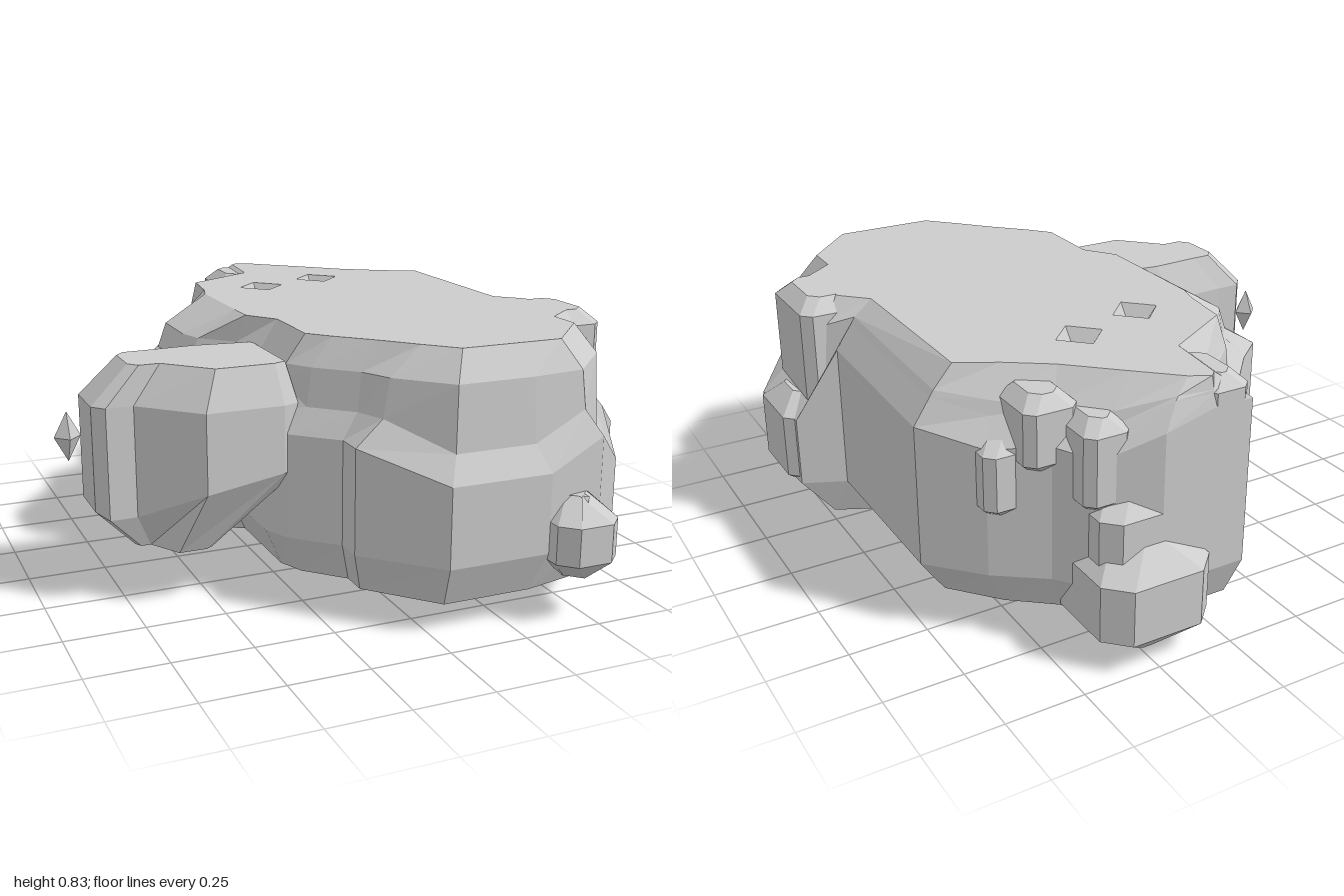
import * as THREE from 'three';
import { mergeGeometries } from 'three/addons/utils/BufferGeometryUtils.js';

const stone = new THREE.MeshStandardMaterial({ color: 0xcccccc });
stone.name = 'grey stone';

function facet(g) {
  const f = g.index ? g.toNonIndexed() : g;
  f.deleteAttribute('uv');
  f.computeVertexNormals();
  return f;
}

// Flat horizontal cap from [x, y, z] points, facing up or down
function cap(points, up, holes = []) {
  const s = up ? -1 : 1;
  const toV = ([x, , z]) => new THREE.Vector2(x, z * s);
  const shape = new THREE.Shape(points.map(toV));
  holes.forEach(h => shape.holes.push(new THREE.Path(h.map(toV))));
  return facet(new THREE.ShapeGeometry(shape).rotateX(s * Math.PI / 2).translate(0, points[0][1], 0));
}

// Joins rings of [x, y, z] points (running back, +x, front, -x), flat at both ends
function loft(rings, holes) {
  const pos = [];
  for (let k = 0; k + 1 < rings.length; k++) {
    const lo = rings[k], hi = rings[k + 1], n = lo.length;
    for (let i = 0; i < n; i++) {
      const j = (i + 1) % n;
      pos.push(...lo[i], ...hi[i], ...lo[j], ...lo[j], ...hi[i], ...hi[j]);
    }
  }
  const side = new THREE.BufferGeometry();
  side.setAttribute('position', new THREE.Float32BufferAttribute(pos, 3));
  return mergeGeometries([facet(side), cap(rings[0], false), cap(rings[rings.length - 1], true, holes)]);
}

function add(group, name, geometry) {
  const mesh = new THREE.Mesh(geometry, stone);
  mesh.name = name;
  group.add(mesh);
}

// Block with all edges cut off
function lump(x0, x1, y0, y1, z0, z1, c) {
  const ring = (i, y) => {
    const [a, b, e, f] = [x0 + i, x1 - i, z0 + i, z1 - i];
    const d = c * 0.7;
    return [[a + d, e], [b - d, e], [b, e + d], [b, f - d], [b - d, f], [a + d, f], [a, f - d], [a, e + d]]
      .map(([x, z]) => [x, y, z]);
  };
  return loft([ring(c, y0), ring(0, y0 + c), ring(0, y1 - c), ring(c, y1)]);
}

// Main outline: outer x, z, top x, z and the height of the ledge
const outline = [
  [-.09, -.92, .02, -.88, .74], [.04, -.92, .04, -.9, .74], [.2, -.92, .1, -.87, .7],
  [.36, -.84, .22, -.76, .62], [.45, -.73, .37, -.62, .64], [.6, -.62, .5, -.53, .62],
  [.745, -.465, .62, -.465, .66], [.745, .12, .62, .12, .68], [.88, .18, .7, .2, .44],
  [.9, .45, .72, .42, .44], [.745, .61, .62, .5, .55], [.745, .7, .62, .61, .4],
  [.57, .87, .455, .79, .54], [.37, .91, .3, .79, .46], [.04, .91, .125, .79, .46],
  [-.165, .7, .04, .7, .54], [-.165, .61, -.05, .6, .54], [-.29, .49, -.15, .5, .54],
  [-.33, .4, -.21, .43, .6], [-.33, .2, -.21, .2, .64], [-.33, .05, -.28, .1, .64],
  [-.53, -.05, -.28, 0, .6], [-.585, -.12, -.28, -.1, .58], [-.585, -.3, -.28, -.31, .58],
  [-.42, -.46, -.26, -.38, .62], [-.25, -.64, -.24, -.54, .6], [-.09, -.8, 0, -.68, .64],
];

// Lobe outline: x, z and the height where the underside starts
const lobe = [
  [-.8, .08, .28], [-.715, .08, .28], [-.5, .07, .34], [-.25, .1, .42], [-.25, .47, .42], [-.3, .49, .42],
  [-.545, .49, .38], [-.715, .32, .28], [-.8, .32, .28], [-.835, .28, .3], [-.835, .12, .3],
];

export function createModel() {
  const group = new THREE.Group();
  group.name = 'rock';

  // Main body with two small pits in its flat top
  const blend = (t, height) => outline.map(([x, z, u, v, h]) => [x + (u - x) * t, height(h), z + (v - z) * t]);
  const base = outline.map(([x, z]) => [.1 + (x - .1) * .87, .085, z * .95]);
  const pits = [[-.045, -.38], [.205, -.465]];
  const holes = pits.map(([x, z]) => [[x, 0, z - .08], [x + .08, 0, z], [x, 0, z + .08], [x - .08, 0, z]]);
  add(group, 'body', loft([
    base, blend(0, () => .21), blend(0, h => h),
    blend(.42, h => Math.min(h + .08, .78)), blend(.52, h => Math.max(.74, Math.min(h + .1, .79))),
    blend(1, () => .83),
  ], holes));
  pits.forEach(([x, z]) => add(group, 'pit', facet(
    new THREE.ConeGeometry(.08, .1, 4, 1, true).scale(1, -1, 1).translate(x, .78, z))));

  // Side lobe, overhanging where it meets the body
  const lobeRing = (kx, kz, y) => lobe.map(([x, z]) => [-.35 + (x + .35) * kx, y, .27 + (z - .27) * kz]);
  add(group, 'sideLobe', loft([
    lobe.map(([x, z]) => [-.71 + (x + .835) * .36, .17, .22 + (z - .22) * .6]),
    lobe.map(([x, z, h]) => [x, h, z]),
    lobeRing(1, 1, .63), lobeRing(.76, .78, .75),
  ]));

  // Loose chip beside the lobe
  add(group, 'chip', facet(new THREE.OctahedronGeometry(1).scale(.042, .08, .042).translate(-.875, .5, .12)));

  // Lumps and ledges around the sides
  const lumps = [
    ['backFoot', .04, .41, 0, .38, -1, -.64, .1],
    ['backFootTop', .08, .38, .2, .52, -.92, -.7, .07],
    ['frontNub', .37, .58, .12, .38, .78, 1, .07],
    ['rightLump', .6, .91, .17, .5, .18, .47, .06],
    ['rightShoulder', .55, .83, .4, .83, .17, .47, .045],
    ['backColumn', -.09, .06, .3, .82, -.92, -.68, .04],
    ['backRightStep', .26, .41, .45, .74, -.86, -.65, .04],
    ['backRightBump', .36, .53, .55, .79, -.74, -.52, .04],
    ['backRightKnob', .48, .62, .4, .65, -.67, -.48, .04],
  ];
  lumps.forEach(([name, ...size]) => add(group, name, lump(...size)));
  return group;
}
